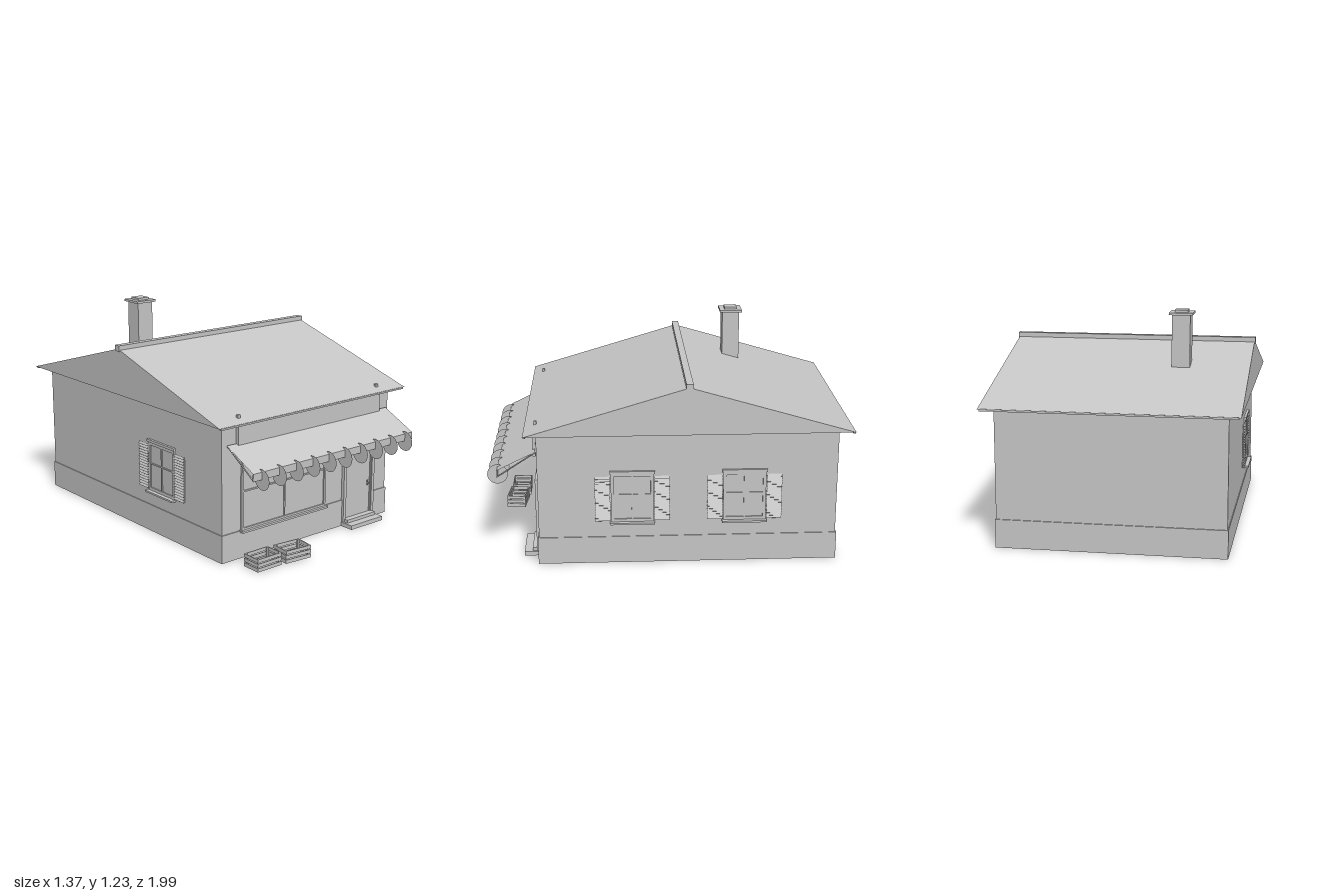
import * as THREE from 'three';

const grey = new THREE.MeshStandardMaterial({ color: 0xc6c6c6, side: THREE.DoubleSide });
grey.name = 'plain grey';

function add(parent, name, geometry, x = 0, y = 0, z = 0) {
  const mesh = new THREE.Mesh(geometry, grey);
  mesh.name = name;
  mesh.position.set(x, y, z);
  parent.add(mesh);
  return mesh;
}

// Box given by its min and max along each axis
function box(parent, name, x0, x1, y0, y1, z0, z1) {
  return add(parent, name, new THREE.BoxGeometry(x1 - x0, y1 - y0, z1 - z0),
    (x0 + x1) / 2, (y0 + y1) / 2, (z0 + z1) / 2);
}

function group(parent, name, x = 0, y = 0, z = 0) {
  const g = new THREE.Group();
  g.name = name;
  g.position.set(x, y, z);
  parent.add(g);
  return g;
}

// Window facing +z, centred in x, bottom at y = 0, wall surface at z = 0
function paneGrid(parent, w, h, edge, depth) {
  const hw = w / 2;
  box(parent, 'glass', -hw, hw, 0, h, -0.002, 0.002);
  for (const s of [-1, 1]) {
    box(parent, 'windowStile', s * (hw - edge / 2) - edge / 2, s * (hw - edge / 2) + edge / 2, 0, h, 0, depth);
  }
  box(parent, 'windowRail', -hw, hw, 0, edge, 0, depth);
  box(parent, 'windowRail', -hw, hw, h - edge, h, 0, depth);
  box(parent, 'mullion', -0.004, 0.004, 0, h, 0, depth * 0.8);
  box(parent, 'transom', -hw, hw, h / 2 + 0.016 - 0.004, h / 2 + 0.016 + 0.004, 0, depth * 0.8);
}

// Side window with cap, sill and louvred shutters
function sideWindow(parent, side, z) {
  const g = group(parent, 'sideWindow', side * 0.615, 0.235, z);
  g.rotation.y = side * Math.PI / 2;
  const frame = group(g, 'windowFrame', 0, 0.01, 0);
  paneGrid(frame, 0.235, 0.28, 0.017, 0.009);
  box(g, 'windowCap', -0.123, 0.123, 0.29, 0.305, 0, 0.014);
  box(g, 'windowSill', -0.123, 0.123, 0, 0.01, 0, 0.032);
  for (const s of [-1, 1]) {
    const shutter = group(g, 'shutter', s * 0.163, 0.015, 0);
    box(shutter, 'shutterBack', -0.04, 0.04, 0.003, 0.257, 0, 0.003);
    for (let i = 0; i < 17; i++) {
      const slat = add(shutter, 'shutterSlat', new THREE.BoxGeometry(0.084, 0.015, 0.003), 0, 0.008 + i * 0.0153, 0.008);
      slat.rotation.x = -0.55;
    }
  }
}

// Open slatted crate
function crate(parent, x, z, turn) {
  const g = group(parent, 'crate', x, 0, z);
  g.rotation.y = turn;
  const w = 0.0815, d = 0.056, t = 0.005;
  box(g, 'crateFloor', -w, w, 0.003, 0.01, -d, d);
  for (let i = 0; i < 3; i++) {
    const y0 = 0.004 + i * 0.025, y1 = y0 + 0.019;
    for (const s of [-1, 1]) {
      box(g, 'crateLongSlat', -w, w, y0, y1, s * (d - t / 2) - t / 2, s * (d - t / 2) + t / 2);
      box(g, 'crateEndSlat', s * (w - t / 2) - t / 2, s * (w - t / 2) + t / 2, y0, y1, -d, d);
    }
  }
  for (const sx of [-1, 1]) for (const sz of [-1, 1]) {
    add(g, 'cratePost', new THREE.BoxGeometry(0.009, 0.07, 0.009), sx * (w - 0.009), 0.038, sz * (d - 0.009));
  }
}

// Thin bar between two points
function bar(parent, name, a, b, radius) {
  const path = new THREE.LineCurve3(new THREE.Vector3(...a), new THREE.Vector3(...b));
  add(parent, name, new THREE.TubeGeometry(path, 1, radius, 6));
}

export function createModel() {
  const model = new THREE.Group();
  model.name = 'shop';

  // Walls and plinth
  box(model, 'walls', -0.615, 0.615, 0.1, 0.765, -0.915, 0.725);
  box(model, 'plinth', -0.62, 0.62, 0, 0.155, -0.922, 0.731);

  // Solid gable roof: section drawn in (-z, y), extruded along x
  const section = new THREE.Shape([[-0.793, 0.762], [0.993, 0.762], [0.097, 1.025]].map(p => new THREE.Vector2(...p)));
  const roofShape = new THREE.ExtrudeGeometry(section, { depth: 1.364, bevelEnabled: false });
  roofShape.translate(0, 0, -0.682).rotateY(Math.PI / 2);
  add(model, 'roof', roofShape);
  box(model, 'ridgeCap', -0.687, 0.687, 1.012, 1.045, -0.116, -0.078);
  box(model, 'frontGutter', -0.672, 0.672, 0.752, 0.764, 0.778, 0.79);
  box(model, 'backGutter', -0.672, 0.672, 0.752, 0.764, -0.99, -0.978);

  // Chimney
  const chimney = group(model, 'chimney', -0.307, 0, -0.405);
  box(chimney, 'chimneyStack', -0.05, 0.05, 0.85, 1.207, -0.05, 0.05);
  box(chimney, 'chimneyCap', -0.065, 0.065, 1.205, 1.218, -0.065, 0.065);
  box(chimney, 'chimneyTop', -0.036, 0.036, 1.218, 1.231, -0.036, 0.036);

  // Blank sign board and its posts
  box(model, 'signBoard', -0.525, 0.525, 0.6, 0.755, 0.733, 0.75);
  for (const s of [-1, 1]) {
    box(model, 'signPost', s * 0.51 - 0.008, s * 0.51 + 0.008, 0.62, 0.797, 0.724, 0.738);
  }

  // Awning: sloping sheet, valance, arms and hanging discs
  const awning = group(model, 'awning');
  const sheet = new THREE.PlaneGeometry(1.18, 1);
  const p = sheet.attributes.position;
  for (let i = 0; i < p.count; i++) {
    const top = p.getY(i) > 0;
    p.setXYZ(i, p.getX(i), top ? 0.645 : 0.545, top ? 0.735 : 0.944);
  }
  sheet.computeVertexNormals();
  add(awning, 'awningSheet', sheet);
  box(awning, 'awningValance', -0.59, 0.59, 0.504, 0.545, 0.94, 0.944);
  for (const s of [-1, 1]) {
    bar(awning, 'awningArm', [s * 0.586, 0.642, 0.735], [s * 0.586, 0.508, 0.942], 0.004);
  }
  const disc = new THREE.CircleGeometry(0.056, 24).rotateY(Math.PI / 2);
  for (let i = 0; i < 10; i++) {
    add(awning, 'awningDisc', disc, -0.59 + 0.118 * (i + 0.5), 0.503, 0.944);
  }

  // Shop window
  const shopWindow = group(model, 'shopWindow', -0.185, 0.158, 0.731);
  paneGrid(shopWindow, 0.61, 0.4, 0.012, 0.01);
  box(model, 'shopWindowSill', -0.497, 0.127, 0.148, 0.159, 0.725, 0.758);

  // Door with frame, handle and steps
  const door = group(model, 'door', 0.384, 0, 0.725);
  box(door, 'doorPanel', -0.104, 0.104, 0.04, 0.435, 0, 0.009);
  for (const s of [-1, 1]) {
    box(door, 'doorJamb', s * 0.112 - 0.01, s * 0.112 + 0.01, 0.025, 0.453, 0, 0.02);
    box(door, 'doorStile', s * 0.097 - 0.004, s * 0.097 + 0.004, 0.04, 0.433, 0, 0.013);
  }
  box(door, 'doorLintel', -0.122, 0.122, 0.433, 0.453, 0, 0.02);
  box(door, 'doorHandlePlate', 0.072, 0.078, 0.205, 0.235, 0.009, 0.016);
  bar(door, 'doorHandle', [0.066, 0.22, 0.02], [0.084, 0.22, 0.02], 0.004);
  box(door, 'lowerStep', -0.125, 0.125, 0, 0.024, 0, 0.09);
  box(door, 'upperStep', -0.112, 0.112, 0.024, 0.042, 0, 0.045);

  // Side windows: two on the left wall, one on the right wall
  sideWindow(model, 1, 0.21);
  sideWindow(model, 1, -0.405);
  sideWindow(model, -1, 0.21);

  // Crates by the entrance
  crate(model, -0.469, 0.885, 0);
  crate(model, -0.274, 0.9, -0.1);

  return model;
}
